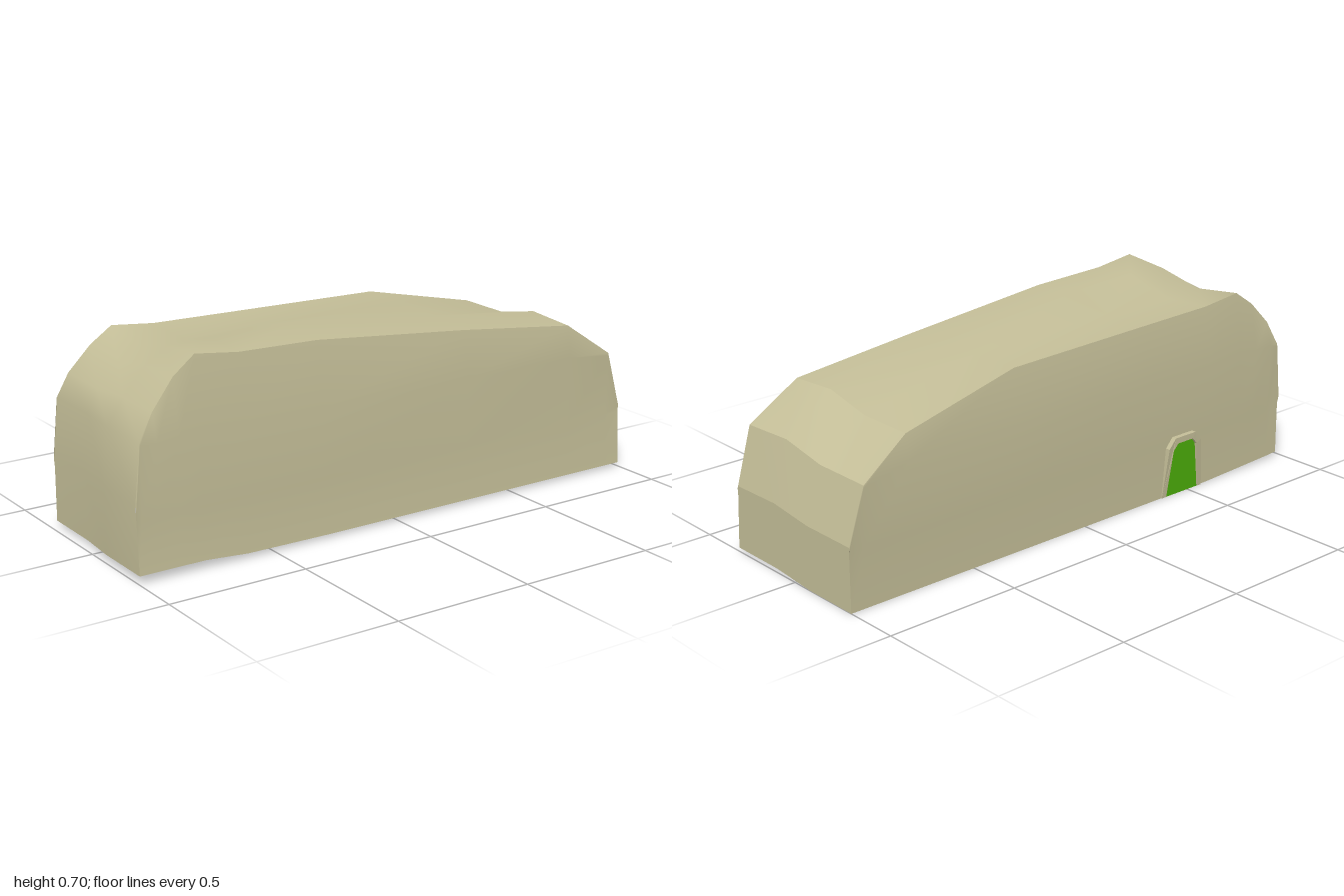
import * as THREE from 'three';

const beige = new THREE.MeshStandardMaterial({ color: 0xc4be98, side: THREE.DoubleSide });
const green = new THREE.MeshStandardMaterial({ color: 0x4caf0a, side: THREE.DoubleSide });

// Sections along the length: x, roof heights from front to back, front and back edge z
const stations = [
  [1.0, [0.24, 0.245, 0.225, 0.225], 0.306, -0.3],
  [0.94, [0.44, 0.45, 0.417, 0.417], 0.31, -0.305],
  [0.76, [0.565, 0.577, 0.537, 0.537], 0.29, -0.288],
  [0.3, [0.617, 0.629, 0.64, 0.64], 0.28, -0.272],
  [-0.3, [0.675, 0.69, 0.648, 0.652], 0.275, -0.27],
  [-0.6, [0.683, 0.69, 0.645, 0.658], 0.275, -0.27],
  [-0.76, [0.703, 0.687, 0.65, 0.675], 0.275, -0.27],
  [-0.84, [0.642, 0.635, 0.61, 0.62], 0.277, -0.272],
  [-0.92, [0.545, 0.545, 0.53, 0.535], 0.285, -0.28],
  [-0.98, [0.46, 0.46, 0.45, 0.45], 0.306, -0.302],
  [-1.0, [0.26, 0.26, 0.25, 0.25], 0.305, -0.299],
];
const midZ = [0.1, -0.08];

// Lower rim, slightly raised toward the tall end
function rim(x, front) {
  const t = THREE.MathUtils.clamp((-0.56 - x) / (front ? 0.2 : 0.44), 0, 1);
  return front ? 0.014 + 0.016 * t : 0.018 * t;
}

// The back half of the tall end is set slightly inward
const shift = (x, back) => (back && x < -0.95 ? x + 0.025 : x);

const roofRow = ([x, ys, zf, zb]) =>
  [zf, ...midZ, zb].map((z, j) => [shift(x, j > 1), ys[j], z]);

const endRow = (x) =>
  [0.319, ...midZ, -0.301].map((z, j) => [shift(x, j > 1), rim(x, j < 2), z]);

// One side wall section, from rim up to roof edge
function wallRow([x, ys, zf, zb], front) {
  const edge = front ? ys[0] : ys[3];
  const px = shift(x, !front);
  const row = [
    [px, rim(x, front), front ? 0.319 : -0.301],
    [px, Math.min(0.205, edge - 0.02), front ? 0.304 : -0.298],
    [px, Math.min(0.45, edge - 0.01), front ? 0.31 : -0.305],
    [px, edge, front ? zf : zb],
  ];
  return front ? row : row.reverse();
}

// Smooth surface through rows of points
function patch(rows) {
  const n = rows[0].length;
  const index = [];
  for (let i = 0; i < rows.length - 1; i++) {
    for (let j = 0; j < n - 1; j++) {
      const a = i * n + j, b = a + n;
      index.push(a, a + 1, b, a + 1, b + 1, b);
    }
  }
  const geometry = new THREE.BufferGeometry();
  geometry.setAttribute('position', new THREE.Float32BufferAttribute(rows.flat(2), 3));
  geometry.setIndex(index);
  geometry.computeVertexNormals();
  return geometry;
}

function add(parent, name, geometry, material) {
  const mesh = new THREE.Mesh(geometry, material);
  mesh.name = name;
  parent.add(mesh);
}

// Arched outline of the doorway, inset by d
function arch(d, Type) {
  const pts = [
    [-0.57 + d, 0], [-0.55 + d, 0.185 - d * 0.5], [-0.52 + d * 0.6, 0.22 - d],
    [-0.42 - d * 0.6, 0.22 - d], [-0.39 - d, 0.185 - d * 0.5], [-0.37 - d, 0],
  ];
  return new Type(pts.map(([x, y]) => new THREE.Vector2(x, y)));
}

// Lean a flat part outward with height
function lean(geometry, z, slope) {
  const p = geometry.attributes.position;
  for (let i = 0; i < p.count; i++) {
    p.setZ(i, p.getZ(i) + z - slope * Math.min(p.getY(i), 0.19));
  }
  geometry.computeVertexNormals();
  return geometry;
}

export function createModel() {
  const group = new THREE.Group();
  group.name = 'building';

  // Shell, open underneath, with hard edges between its panels
  const shell = new THREE.Group();
  shell.name = 'shell';
  group.add(shell);
  const roof = stations.map(roofRow);
  add(shell, 'lowEndWall', patch([endRow(1), roof[0]]), beige);
  add(shell, 'lowEndSlope', patch(roof.slice(0, 2)), beige);
  add(shell, 'roofChamfer', patch(roof.slice(1, 3)), beige);
  add(shell, 'roof', patch([...roof.slice(2), endRow(-1)]), beige);
  add(shell, 'frontWall', patch(stations.map((s) => wallRow(s, true))), beige);
  add(shell, 'backWall', patch(stations.map((s) => wallRow(s, false))), beige);

  // Low partition inside the shell
  const partition = [0.01, 0.21].map((y) => [[0.75, y, 0.304], [0.75, y, -0.298]]);
  add(group, 'partition', patch(partition), beige);

  // Doorway on the back wall: arched frame and green door
  const doorway = new THREE.Group();
  doorway.name = 'doorway';
  group.add(doorway);
  const frame = arch(0, THREE.Shape);
  const inner = arch(0.022, THREE.Path).getPoints();
  const outer = frame.getPoints();
  const ring = new THREE.Shape([...outer, ...inner.reverse()]);
  const frameGeometry = new THREE.ExtrudeGeometry(ring, { depth: 0.018, bevelEnabled: false });
  add(doorway, 'doorFrame', lean(frameGeometry, -0.304, 0.07), beige);
  add(doorway, 'door', lean(new THREE.ShapeGeometry(arch(0.018, THREE.Shape)), -0.303, 0.02), green);

  return group;
}
